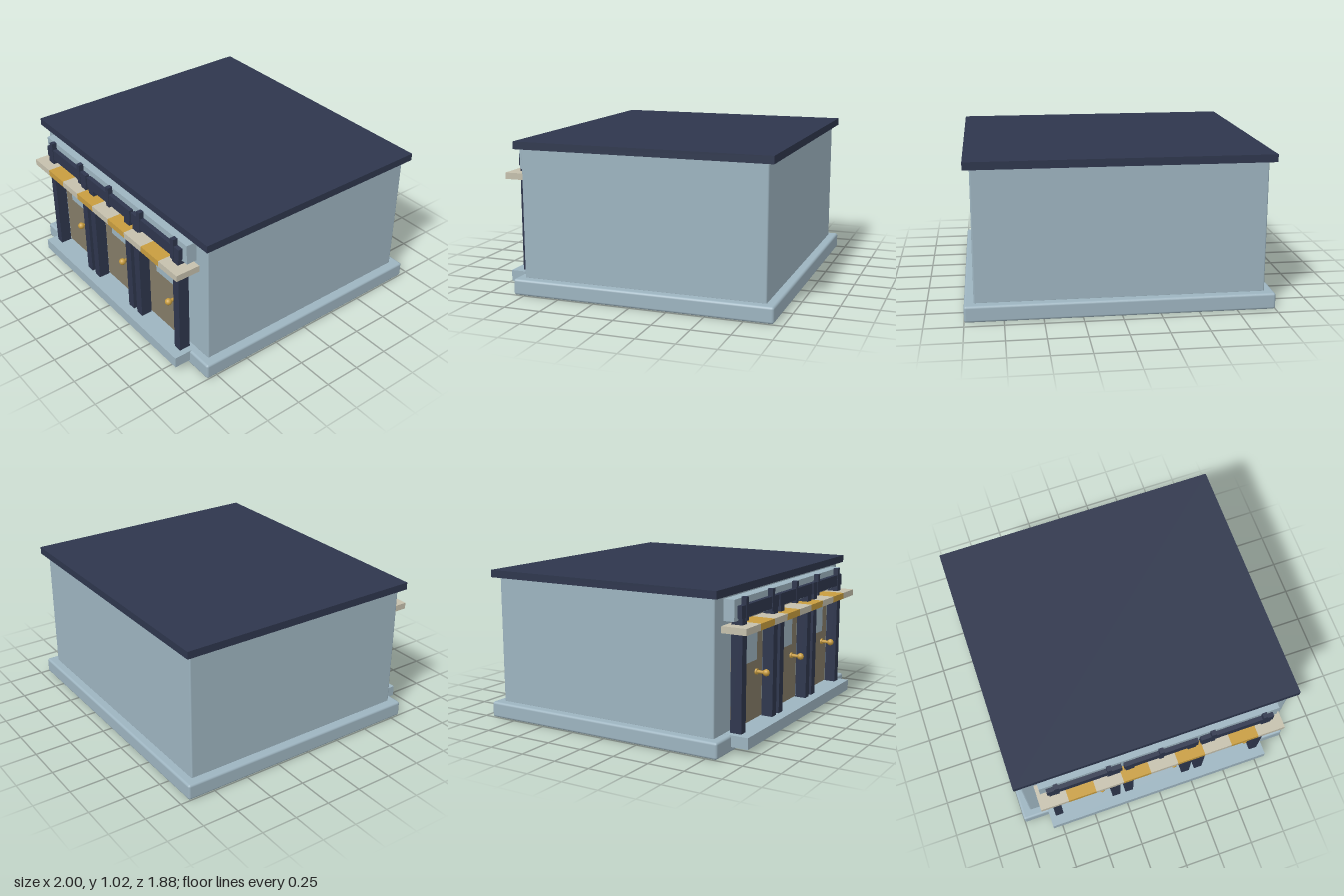
import * as THREE from 'three';
import { RoundedBoxGeometry } from 'three/addons/geometries/RoundedBoxGeometry.js';

const material = (name, color) => {
  const m = new THREE.MeshStandardMaterial({ color });
  m.name = name;
  return m;
};

export function createModel() {
  const blue = material('pale blue', 0x9db4c0);
  const navy = material('navy', 0x2e364d);
  const brown = material('door brown', 0x847b67);
  const gold = material('gold', 0xc89d3f);
  const cream = material('cream', 0xc5c0ad);

  const model = new THREE.Group();
  model.name = 'building';

  const add = (parent, name, geometry, mat, x, y, z) => {
    const mesh = new THREE.Mesh(geometry, mat);
    mesh.name = name;
    mesh.position.set(x, y, z);
    parent.add(mesh);
    return mesh;
  };
  // Box given by its lower and upper limits on each axis; bevel rounds the edges
  const box = (parent, name, mat, [x0, x1], [y0, y1], [z0, z1], bevel = 0) => {
    const size = [x1 - x0, y1 - y0, z1 - z0];
    const geometry = bevel
      ? new RoundedBoxGeometry(...size, 2, bevel)
      : new THREE.BoxGeometry(...size);
    return add(parent, name, geometry, mat, (x0 + x1) / 2, (y0 + y1) / 2, (z0 + z1) / 2);
  };

  // Main block
  box(model, 'plinth', blue, [-1, 1], [0, 0.108], [-0.94, 0.825], 0.016);
  box(model, 'walls', blue, [-0.938, 0.938], [0.1, 0.975], [-0.88, 0.77], 0.01);
  box(model, 'roof', navy, [-0.98, 0.98], [0.97, 1.02], [-0.92, 0.806]);
  box(model, 'frontStep', blue, [-0.817, 0.817], [0.034, 0.109], [0.76, 0.94]);
  box(model, 'fasciaPanel', blue, [-0.828, 0.828], [0.816, 0.95], [0.76, 0.843]);

  // Three door bays
  for (const cx of [-0.53, 0, 0.53]) {
    const bay = new THREE.Group();
    bay.name = 'doorBay';
    bay.position.x = cx;
    model.add(bay);

    box(bay, 'door', brown, [-0.2, 0.2], [0.108, 0.825], [0.765, 0.787]);
    box(bay, 'doorWindow', blue, [-0.11, 0.11], [0.5, 0.73], [0.786, 0.794]);
    for (const s of [-1, 1]) {
      box(bay, 'post', navy, [s * 0.216 - 0.029, s * 0.216 + 0.029], [0.108, 0.84], [0.795, 0.872]);
    }
    box(bay, 'lintel', navy, [-0.256, 0.256], [0.83, 0.908], [0.838, 0.873]);

    // Door knob
    const rose = new THREE.CylinderGeometry(0.02, 0.02, 0.012, 12).rotateX(Math.PI / 2);
    const stem = new THREE.CylinderGeometry(0.011, 0.011, 0.06, 10).rotateX(Math.PI / 2);
    add(bay, 'knobRose', rose, gold, 0.113, 0.42, 0.793);
    add(bay, 'knobStem', stem, gold, 0.113, 0.42, 0.82);
    add(bay, 'knob', new THREE.SphereGeometry(0.023, 14, 10), gold, 0.113, 0.42, 0.86);
  }

  // Brackets across the lintels
  for (const x of [-0.72, -0.36, 0, 0.36, 0.72]) {
    box(model, 'bracket', navy, [x - 0.016, x + 0.016], [0.81, 0.956], [0.842, 0.877]);
  }

  // Small feet under the step
  for (const x of [-0.613, 0, 0.613]) {
    box(model, 'stepFoot', navy, [x - 0.01, x + 0.01], [0.02, 0.036], [0.82, 0.845]);
  }

  // Striped awning
  const stripe = 1.708 / 9;
  for (let i = 0; i < 9; i++) {
    const x = -0.854 + i * stripe;
    box(model, 'awningStripe', i % 2 ? gold : cream, [x, x + stripe], [0.746, 0.789], [0.765, 0.94]);
  }

  return model;
}
